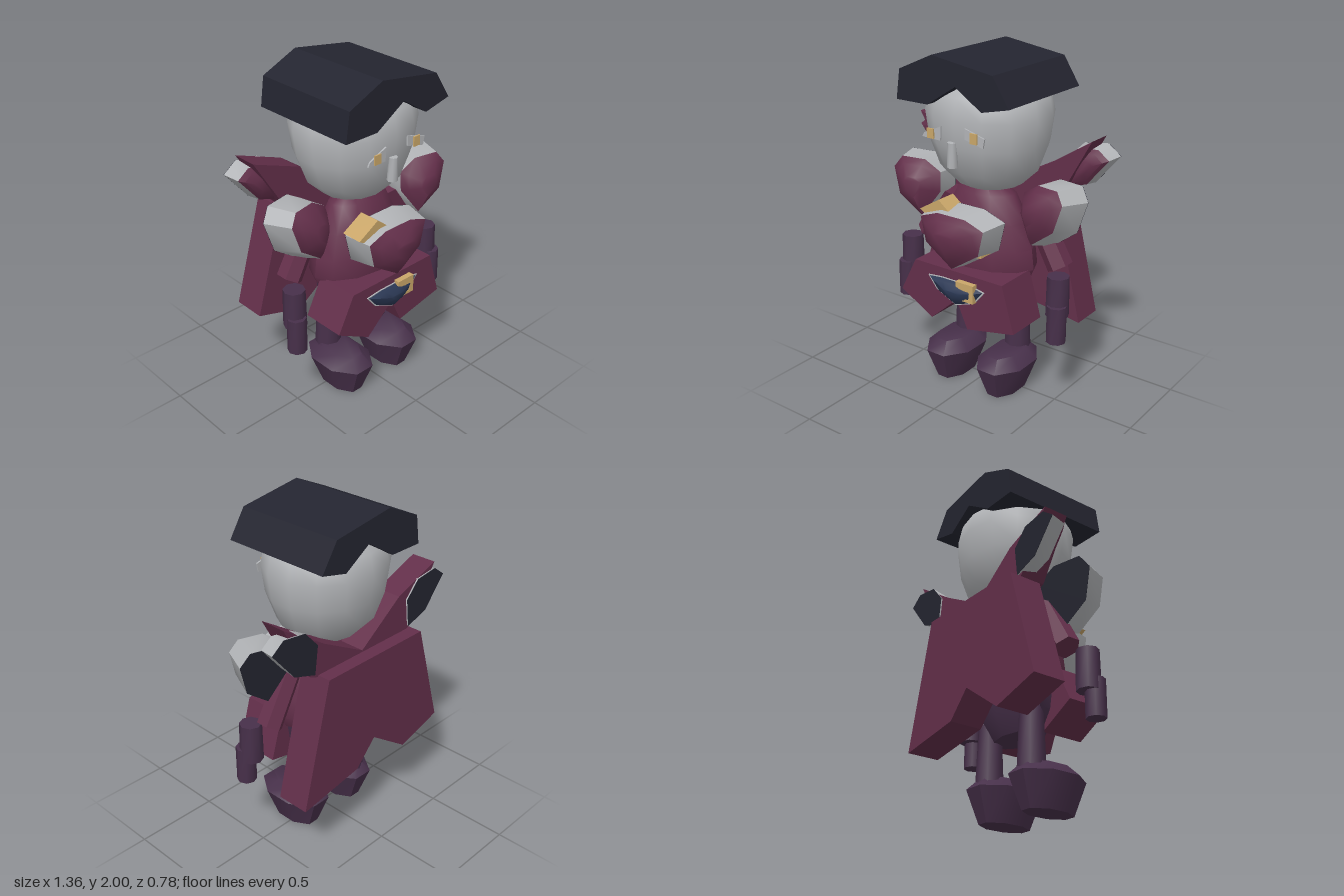
import * as THREE from 'three';
import { toCreasedNormals } from 'three/addons/utils/BufferGeometryUtils.js';

function material(name, color) {
  const m = new THREE.MeshStandardMaterial({ color });
  m.name = name;
  return m;
}

// Stack of scaled copies of a counter-clockwise outline, rising along +z
function loft(outline, layers, startCap, endCap) {
  const n = outline.length, pos = [], index = [];
  for (const [z, sx, sy = sx] of layers) for (const [x, y] of outline) pos.push(x * sx, y * sy, z);
  for (let l = 0; l < layers.length - 1; l++) {
    for (let j = 0; j < n; j++) {
      const a = l * n + j, b = l * n + (j + 1) % n;
      index.push(a, b, b + n, a, b + n, a + n);
    }
  }
  const top = (layers.length - 1) * n;
  for (let j = 1; j < n - 1; j++) {
    if (startCap) index.push(0, j + 1, j);
    if (endCap) index.push(top, top + j, top + j + 1);
  }
  const g = new THREE.BufferGeometry();
  g.setAttribute('position', new THREE.Float32BufferAttribute(pos, 3));
  g.setIndex(index);
  return toCreasedNormals(g, 0.85);
}

// Flat outline given thickness from z0 to z1
function slab(points, z0, z1) {
  const shape = new THREE.Shape(points.map(([x, y]) => new THREE.Vector2(x, y)));
  return new THREE.ExtrudeGeometry(shape, { depth: z1 - z0, bevelEnabled: false }).translate(0, 0, z0);
}

const mirror = (outline, side) => side > 0 ? outline : outline.map(([x, y]) => [-x, y]).reverse();

export function createModel() {
  const root = new THREE.Group();
  root.name = 'armouredFigure';
  const burgundy = material('burgundy', 0x632f4a);
  const purple = material('plum', 0x47304a);
  const silver = material('silver', 0xb2b4b7);
  const dark = material('nearBlack', 0x242530);
  const gold = material('gold', 0xc9a669);
  const navy = material('navy', 0x2a3753);

  const add = (name, geometry, mat, parent = root) => {
    const m = new THREE.Mesh(geometry, mat);
    m.name = name;
    parent.add(m);
    return m;
  };

  // Rounded column about the y axis, with an oval section
  const lathe = (profile, segments, zScale) => toCreasedNormals(
    new THREE.LatheGeometry(profile.map(([r, y]) => new THREE.Vector2(r, y)), segments).scale(1, 1, zScale), 0.8);

  // Limb between two points
  const limb = (name, from, to, rTop, rBottom, sides, mat) => {
    const a = new THREE.Vector3(...from), b = new THREE.Vector3(...to);
    const g = toCreasedNormals(new THREE.CylinderGeometry(rTop, rBottom, a.distanceTo(b), sides), 0.9);
    const m = add(name, g, mat);
    m.position.copy(a).add(b).multiplyScalar(0.5);
    m.quaternion.setFromUnitVectors(new THREE.Vector3(0, 1, 0), a.sub(b).normalize());
    return m;
  };

  // Armour plate: silver band, coloured dome and dark back
  const plate = (name, outline, depth, bandDepth) => {
    const g = new THREE.Group();
    g.name = name;
    add(name + 'Band', loft(outline, [[0, 1], [bandDepth, 0.87]], false, false), silver, g);
    add(name + 'Dome', loft(outline, [[bandDepth, 0.87], [bandDepth + (depth - bandDepth) * 0.45, 0.66], [depth, 0.3]], false, true), burgundy, g);
    add(name + 'Back', loft(outline, [[0, 1], [0.002, 1]], true, false), dark, g);
    root.add(g);
    return g;
  };

  // Head and hair
  add('head', lathe([[0.001, 1.2], [0.09, 1.205], [0.2, 1.25], [0.295, 1.34], [0.355, 1.5],
    [0.377, 1.66], [0.35, 1.78], [0.24, 1.87], [0.001, 1.9]], 14, 0.89).translate(0, 0, -0.04), silver);
  add('hair', slab([[-0.375, 1.73], [-0.16, 1.73], [0.03, 1.85], [0.2, 1.74], [0.373, 1.78],
    [0.27, 1.94], [-0.125, 2], [-0.35, 1.9]], -0.365, 0.31), dark);

  // Face
  add('rightEye', slab([[-0.21, 1.545], [-0.085, 1.54], [-0.08, 1.62], [-0.195, 1.57]], 0.288, 0.297), silver);
  add('leftEye', slab([[0.08, 1.575], [0.2, 1.545], [0.21, 1.597], [0.08, 1.634]], 0.288, 0.297), silver);
  add('rightPupil', slab([[-0.17, 1.545], [-0.125, 1.545], [-0.125, 1.6], [-0.17, 1.6]], 0.297, 0.306), gold);
  add('leftPupil', slab([[0.12, 1.56], [0.165, 1.56], [0.165, 1.618], [0.12, 1.618]], 0.297, 0.306), gold);
  limb('nose', [-0.015, 1.54, 0.285], [-0.015, 1.4, 0.28], 0.025, 0.03, 8, silver);

  // Torso and hips
  add('torso', lathe([[0.3, 0.71], [0.33, 0.78], [0.315, 0.9], [0.265, 1.05], [0.19, 1.2], [0.1, 1.26], [0.001, 1.26]], 12, 0.62)
    .translate(0, 0, -0.01), burgundy);
  add('hips', lathe([[0.001, 0.445], [0.18, 0.445], [0.26, 0.56], [0.29, 0.72], [0.001, 0.72]], 10, 0.62)
    .translate(0, 0, -0.01), purple);

  // Skirt, cape and collar
  add('skirt', slab([[-0.3, 0.785], [-0.41, 0.57], [-0.185, 0.445], [0, 0.61], [0.075, 0.445],
    [0.395, 0.51], [0.315, 0.785]], 0.01, 0.28), burgundy);
  add('cape', slab([[-0.41, 1.19], [-0.6, 0.55], [-0.3, 0.46], [-0.03, 0.65], [0.11, 0.5],
    [0.53, 0.43], [0.345, 1.19]], -0.39, -0.19), burgundy);
  add('collar', slab([[-0.605, 1.535], [-0.4, 1.2], [-0.2, 1.12], [0.2, 1.12], [0.4, 1.2],
    [0.59, 1.545], [0.3, 1.36], [0, 1.2], [-0.3, 1.42]], -0.31, -0.155), burgundy);

  // Chest plate over a gold strap
  add('chestStrap', slab([[-0.255, 1.11], [0.1, 0.9], [0.175, 0.91], [0.17, 0.975],
    [-0.03, 1.12], [-0.12, 1.19]], 0.15, 0.28), gold);
  plate('chestPlate', [[-0.25, 0.1], [-0.21, -0.07], [0, -0.21], [0.21, -0.07], [0.25, 0.1],
    [0.11, 0.15], [-0.11, 0.15]], 0.23, 0.16).position.set(0, 1, 0.16);

  // Belt ornament and buckle
  const gem = [[-0.2, 0.055], [-0.14, -0.02], [0, -0.085], [0.13, -0.04], [0.2, 0.045], [0.1, 0.065], [-0.1, 0.065]];
  add('beltRim', loft(gem, [[0, 1], [0.009, 1]], true, true), silver).position.set(0, 0.665, 0.278);
  add('beltGem', loft(gem, [[0, 0.94], [0.02, 0.75], [0.045, 0.25]], false, true), navy).position.set(0, 0.665, 0.287);
  add('buckle', slab([[0.02, 0.715], [0.06, 0.7], [0.115, 0.7], [0.11, 0.65], [0.06, 0.655], [0.06, 0.635],
    [0.142, 0.635], [0.142, 0.745], [0.02, 0.745]], 0.27, 0.315), gold);

  const shoulder = [[-0.17, -0.02], [-0.05, -0.205], [0.13, -0.08], [0.185, 0.1], [0.13, 0.18], [-0.04, 0.18], [-0.16, 0.11]];
  const backPad = [[-0.15, -0.17], [0, -0.12], [0.15, 0.06], [0.07, 0.12], [-0.08, 0.1], [-0.17, 0]];
  const octagon = Array.from({ length: 8 }, (_, i) => {
    const a = (i + 0.5) * Math.PI / 4;
    return [Math.cos(a) / Math.cos(Math.PI / 8), Math.sin(a) / Math.cos(Math.PI / 8)];
  });

  // Paired parts
  for (const s of [1, -1]) {
    const label = s > 0 ? 'left' : 'right';
    const pad = plate(label + 'ShoulderPad', mirror(shoulder, s), 0.25, 0.17);
    pad.position.set(0.47 * s, 1.14, -0.07);
    pad.rotation.set(-0.15, -0.25 * s, 0);
    plate(label + 'BackPad', mirror(backPad, s), 0.14, 0.1).position.set(0.53 * s, 1.38, -0.322);

    limb(label + 'UpperArm', [0.3 * s, 1.13, -0.06], [0.475 * s, 0.82, -0.06], 0.07, 0.075, 6, burgundy);
    limb(label + 'Forearm', [0.525 * s, 0.815, 0.04], [0.525 * s, 0.58, 0.04], 0.064, 0.068, 8, purple);
    limb(label + 'Hand', [0.541 * s, 0.65, 0.072], [0.541 * s, 0.43, 0.072], 0.057, 0.057, 8, purple);
    limb(label + 'Leg', [0.185 * s, 0.56, -0.07], [0.185 * s, 0.2, -0.07], 0.066, 0.08, 8, purple);

    const foot = loft(octagon, [[0, 0.085, 0.15], [0.19, 0.15, 0.218], [0.255, 0.085, 0.153]], true, true);
    add(label + 'Foot', foot.rotateX(-Math.PI / 2), purple).position.set(0.187 * s, 0, 0.038);
  }
  return root;
}
